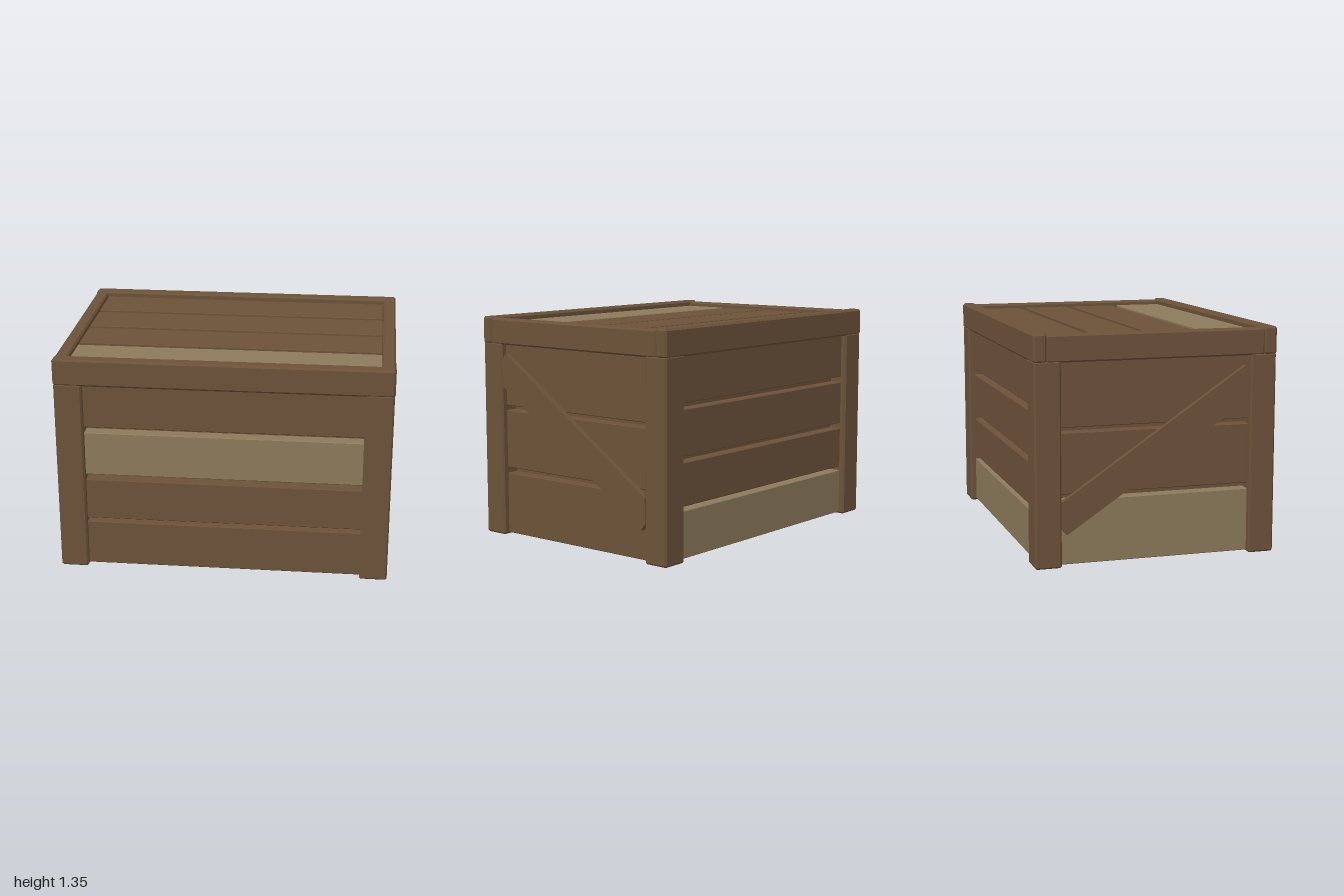
import * as THREE from 'three';
import { ConvexGeometry } from 'three/addons/geometries/ConvexGeometry.js';

const paint = (name, color) => {
  const m = new THREE.MeshStandardMaterial({ color });
  m.name = name;
  return m;
};

export function createModel() {
  const crate = new THREE.Group();
  crate.name = 'crate';
  const brown = paint('brownWood', 0x6b5239);
  const tan = paint('paleWood', 0x8c7a5b);

  const add = (name, geometry, material = brown) => {
    const mesh = new THREE.Mesh(geometry, material);
    mesh.name = name;
    crate.add(mesh);
    return mesh;
  };

  // Board between two corners, with every edge chamfered by c
  const board = (name, x0, x1, y0, y1, z0, z1, material = brown, c = 0.008) => {
    const half = [(x1 - x0) / 2, (y1 - y0) / 2, (z1 - z0) / 2];
    const points = [];
    for (const sx of [-1, 1]) for (const sy of [-1, 1]) for (const sz of [-1, 1]) {
      for (let full = 0; full < 3; full++) {
        const p = half.map((h, i) => (i === full ? h : h - c));
        points.push(new THREE.Vector3(sx * p[0], sy * p[1], sz * p[2]));
      }
    }
    const mesh = add(name, new ConvexGeometry(points), material);
    mesh.position.set((x0 + x1) / 2, (y0 + y1) / 2, (z0 + z1) / 2);
  };

  // Mirrors a span to the negative side
  const span = (s, a, b) => (s > 0 ? [a, b] : [-b, -a]);

  const longRows = [[0.01, 0.29], [0.315, 0.57], [0.605, 0.875], [0.91, 1.2]];
  const endRows = [[0.01, 0.385], [0.42, 0.775], [0.805, 1.2]];

  for (const s of [1, -1]) {
    // Corner posts
    for (const t of [1, -1]) {
      board('cornerPost', ...span(t, 0.83, 0.997), 0, 1.19, ...span(s, 0.57, 0.727), brown, 0.01);
    }

    // Top rails
    board('longTopRail', -1, 1, 1.18, 1.345, ...span(s, 0.65, 0.73), brown, 0.012);
    board('endTopRail', ...span(s, 0.92, 0.998), 1.18, 1.337, -0.655, 0.655, brown, 0.01);

    // Front and back planks with the lining behind them
    longRows.forEach(([y0, y1], i) => {
      const pale = s > 0 ? i === 2 : i === 0;
      board(s > 0 ? 'frontPlank' : 'backPlank', -0.86, 0.86, y0, y1,
        ...span(s, 0.61, 0.69), pale ? tan : brown, 0.004);
    });
    board('longLining', -0.87, 0.87, 0.02, 1.25, ...span(s, 0.575, 0.615));

    // End planks with the lining behind them
    endRows.forEach(([y0, y1], i) => {
      board(s > 0 ? 'leftPlank' : 'rightPlank', ...span(s, 0.88, 0.96), y0, y1,
        -0.6, 0.6, s < 0 && i === 0 ? tan : brown, 0.004);
    });
    board('endLining', ...span(s, 0.84, 0.885), 0.02, 1.25, -0.6, 0.6);

    // Diagonal brace on each end
    const outline = [[-0.57, 0.93], [0.54, 0.19], [0.57, 0.23], [0.57, 0.38], [-0.54, 1.125], [-0.57, 1.08]];
    const shape = new THREE.Shape(outline.map(([a, b]) => new THREE.Vector2(a, b)));
    const brace = new THREE.ExtrudeGeometry(shape, { depth: 0.037, bevelEnabled: false });
    brace.rotateY(Math.PI / 2);
    add('diagonalBrace', brace).position.x = s > 0 ? 0.958 : -0.995;

    // Lid planks, two each side of the middle gap
    board('lidPlank', -0.92, 0.92, 1.25, 1.31, ...span(s, 0.02, 0.31), brown, 0.004);
    board('lidPlank', -0.92, 0.92, 1.25, 1.31, ...span(s, 0.35, 0.652), s > 0 ? tan : brown, 0.004);

    // Lid and floor battens
    board('lidBatten', ...span(s, 0.525, 0.63), 1.2, 1.252, -0.58, 0.58);
    board('floorBatten', ...span(s, 0.525, 0.63), 0.095, 0.14, -0.58, 0.58);

    // Floor planks
    board('floorPlank', -0.845, 0.845, 0.04, 0.1, ...span(s, 0.02, 0.285), brown, 0.004);
    board('floorPlank', -0.845, 0.845, 0.04, 0.1, ...span(s, 0.295, 0.58), brown, 0.004);
  }
  return crate;
}
